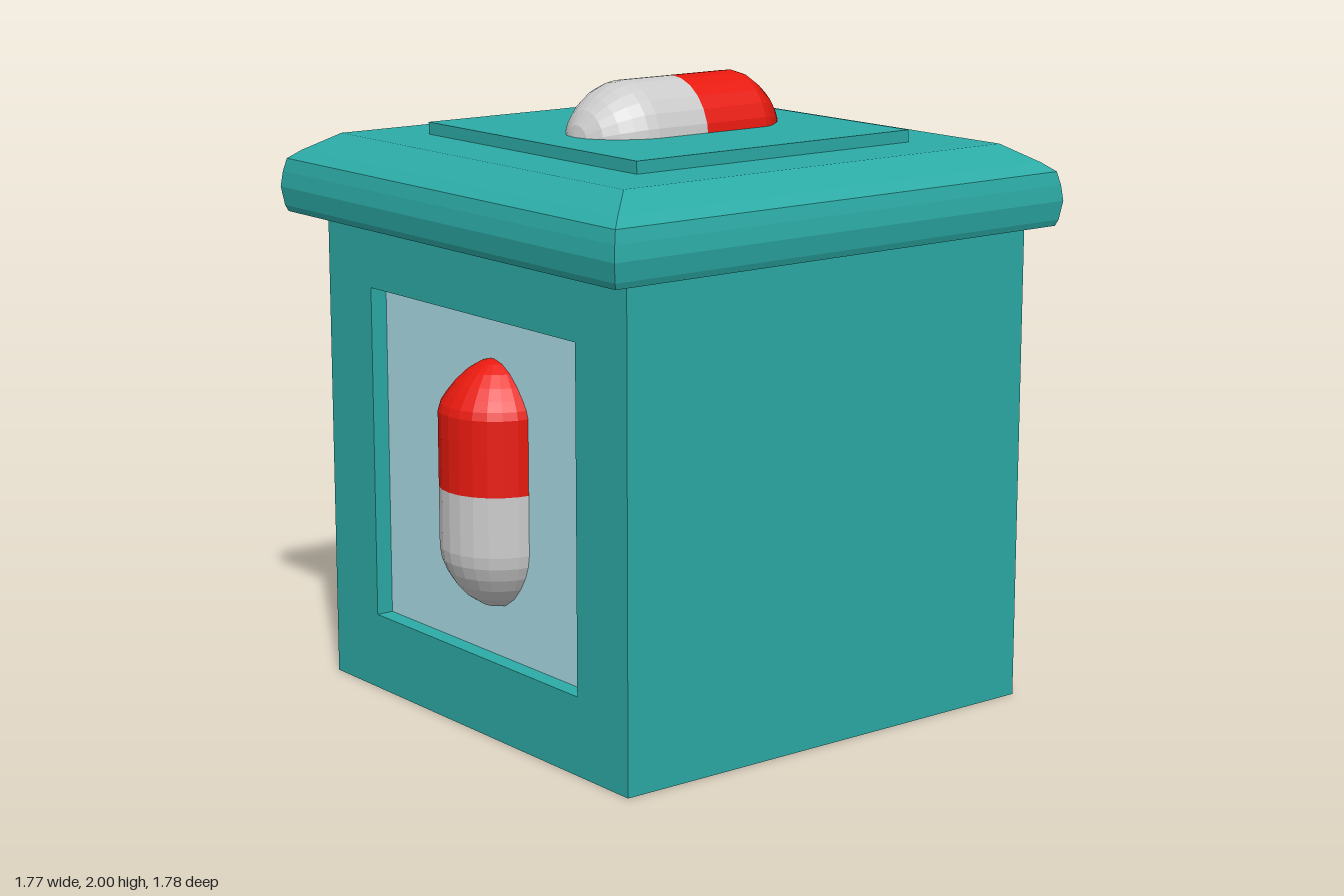
import * as THREE from 'three';

const material = (color) => new THREE.MeshStandardMaterial({ color, flatShading: true });

function addMesh(parent, name, geometry, mat, x = 0, y = 0, z = 0) {
  const mesh = new THREE.Mesh(geometry, mat);
  mesh.name = name;
  mesh.position.set(x, y, z);
  parent.add(mesh);
  return mesh;
}

// Faceted solid turned from [radius, height] pairs, listed bottom to top
function turned(profile, sides, phiStart = 0) {
  const points = profile.map(([r, y]) => new THREE.Vector2(r, y));
  const geometry = new THREE.LatheGeometry(points, sides, phiStart).toNonIndexed();
  geometry.computeVertexNormals();
  return geometry;
}

// Two-tone capsule along y, colours meeting at its origin
function createCapsule(name, lower, upper) {
  const capsule = new THREE.Group();
  capsule.name = name;
  const lowerProfile = [[0, -0.39], [0.055, -0.377], [0.1, -0.347], [0.135, -0.308],
    [0.16, -0.268], [0.176, -0.228], [0.182, -0.19], [0.182, 0]];
  const upperProfile = [[0.182, 0], [0.182, 0.238], [0.174, 0.263], [0.155, 0.292],
    [0.127, 0.327], [0.09, 0.362], [0.05, 0.386], [0, 0.4]];
  addMesh(capsule, 'capsuleLowerHalf', turned(lowerProfile, 24), lower);
  addMesh(capsule, 'capsuleUpperHalf', turned(upperProfile, 24), upper);
  return capsule;
}

export function createModel() {
  const model = new THREE.Group();
  model.name = 'capsuleBox';
  const teal = material(0x2caba6);
  const paleBlue = material(0xaedfe8);
  const red = material(0xe81a0f);
  const grey = material(0xcccccc);

  // Body: solid core with a framed recess on the front
  const [left, right, height, recessZ, depth] = [-0.762, 0.812, 1.55, 0.72, 0.06];
  addMesh(model, 'body', new THREE.BoxGeometry(right - left, height, recessZ + 0.797), teal,
    (left + right) / 2, height / 2, (recessZ - 0.797) / 2);

  const rectangle = (target, x0, y0, x1, y1) =>
    target.moveTo(x0, y0).lineTo(x1, y0).lineTo(x1, y1).lineTo(x0, y1).closePath();
  const frame = rectangle(new THREE.Shape(), left, 0, right, height);
  frame.holes.push(rectangle(new THREE.Path(), -0.519, 0.249, 0.565, 1.33));
  addMesh(model, 'frontFrame',
    new THREE.ExtrudeGeometry(frame, { depth, bevelEnabled: false }), teal, 0, 0, recessZ);
  addMesh(model, 'frontPanel', new THREE.PlaneGeometry(1.084, 1.081), paleBlue,
    0.023, 0.7895, recessZ + 0.003);

  // Lid: square section with rounded edges
  const lidProfile = [[0, 1.54], [0.869, 1.54], [0.877, 1.56], [0.886, 1.62], [0.88, 1.67],
    [0.87, 1.712], [0.835, 1.74], [0.742, 1.797], [0, 1.797]]
    .map(([half, y]) => [half * Math.SQRT2, y]);
  addMesh(model, 'lid', turned(lidProfile, 4, Math.PI / 4), teal, 0, 0, -0.006);
  addMesh(model, 'lidPlate', new THREE.BoxGeometry(1.084, 0.05, 1.08), teal, -0.002, 1.811, -0.008);

  // Capsules half sunk into the front panel and the lid plate
  const frontCapsule = createCapsule('frontCapsule', grey, red);
  frontCapsule.position.set(0.068, 0.795, 0.71);
  const topCapsule = createCapsule('topCapsule', grey, red);
  topCapsule.position.set(0.027, 1.818, -0.008);
  topCapsule.rotation.x = -Math.PI / 2;
  model.add(frontCapsule, topCapsule);

  return model;
}
